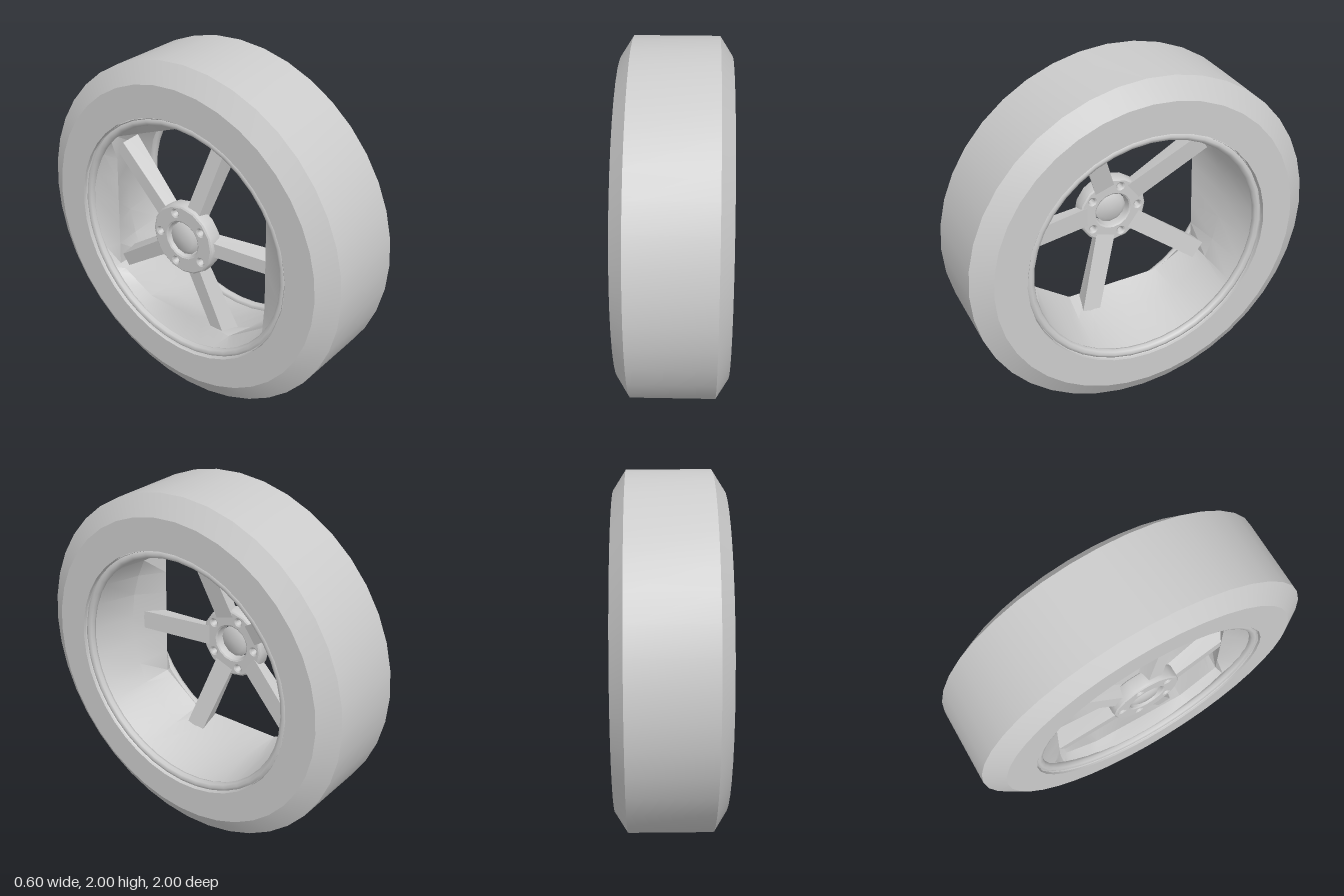
import * as THREE from 'three';
import { toCreasedNormals } from 'three/addons/utils/BufferGeometryUtils.js';

const grey = new THREE.MeshStandardMaterial({ color: 0xcccccc });
const greyDouble = new THREE.MeshStandardMaterial({ color: 0xcccccc, side: THREE.DoubleSide });

function part(name, geometry, material = grey) {
  const mesh = new THREE.Mesh(geometry, material);
  mesh.name = name;
  return mesh;
}

// Solid of revolution about local z from [radius, z] pairs
function turned(points, segments) {
  const g = new THREE.LatheGeometry(points.map(p => new THREE.Vector2(...p)), segments);
  g.rotateX(Math.PI / 2);
  return toCreasedNormals(g, 0.5);
}

// Barrel: round lips at both ends, drawn in to a faceted waist near the spokes
function barrelGeometry() {
  const waist = [[0.52, -0.38], [0.51, 0.42], [0.4, 0.51], [0, 0.65],
    [-0.52, 0.44], [-0.54, -0.4], [-0.3, -0.53], [0.28, -0.55]];
  // Each waist edge is cut into steps, giving [angle, radius] around the axle
  const steps = 6, around = [];
  waist.forEach(([ax, ay], i) => {
    const [bx, by] = waist[(i + 1) % waist.length];
    for (let k = 0; k < steps; k++) {
      const x = ax + (bx - ax) * k / steps, y = ay + (by - ay) * k / steps;
      around.push([Math.atan2(y, x), Math.hypot(x, y)]);
    }
  });
  // [local z, round radius, share of the waist]
  const rings = [[-0.29, 0.705, 0], [-0.22, 0.685, 0], [0.02, 0.67, 0.3],
    [0.2, 0.66, 1], [0.25, 0.675, 0.15], [0.29, 0.705, 0]];
  const n = around.length, pos = [], index = [];
  rings.forEach(([z, r, w], j) => {
    around.forEach(([a, waistRadius], i) => {
      const rad = r + (waistRadius - r) * w;
      pos.push(rad * Math.cos(a), rad * Math.sin(a), z);
      if (j === 0) return;
      const k = (i + 1) % n, p = (j - 1) * n, q = j * n;
      index.push(p + i, q + i, p + k, p + k, q + i, q + k);
    });
  });
  const g = new THREE.BufferGeometry();
  g.setAttribute('position', new THREE.Float32BufferAttribute(pos, 3));
  g.setIndex(index);
  return toCreasedNormals(g, 0.4);
}

// Spoke along local x: tapered and leaning back towards the rim
function spokeGeometry() {
  const g = new THREE.BoxGeometry(1, 1, 1);
  const p = g.attributes.position;
  for (let i = 0; i < p.count; i++) {
    const outer = p.getX(i) > 0, front = p.getZ(i) > 0;
    const half = (outer ? 0.055 : 0.06) * (front ? 0.7 : 1);
    const z = outer ? (front ? 0.18 : 0.07) : (front ? 0.24 : 0.17);
    p.setXYZ(i, outer ? 0.635 : 0.16, Math.sign(p.getY(i)) * half, z);
  }
  g.computeVertexNormals();
  return g;
}

// Hub plate with a centre bore and five bolt holes between the spokes
function hubGeometry() {
  const shape = new THREE.Shape().absarc(0, 0, 0.195, 0, Math.PI * 2);
  const hole = (x, y, r) => shape.holes.push(new THREE.Path().absarc(x, y, r, 0, Math.PI * 2, true));
  hole(0, 0, 0.115);
  for (let i = 0; i < 5; i++) {
    const a = (i + 0.5) * Math.PI * 0.4;
    hole(0.157 * Math.cos(a), 0.157 * Math.sin(a), 0.028);
  }
  const g = new THREE.ExtrudeGeometry(shape, {
    depth: 0.05, bevelSize: 0.012, bevelThickness: 0.02, bevelSegments: 2, curveSegments: 8
  });
  g.translate(0, 0, 0.19);
  return toCreasedNormals(g, 0.6);
}

export function createModel() {
  const model = new THREE.Group();
  model.name = 'wheel';

  // Work with the axle along local z, the outer face at +z
  const wheel = new THREE.Group();
  wheel.name = 'wheelAssembly';
  wheel.rotation.y = -Math.PI / 2;
  wheel.position.y = 1;
  model.add(wheel);

  // Tyre with flat tread, chamfered shoulders and flat sidewalls
  wheel.add(part('tyre', turned([
    [0.71, -0.3], [0.89, -0.3], [1, -0.23], [1, 0.23], [0.89, 0.3], [0.71, 0.3], [0.71, -0.3]
  ], 40)));

  wheel.add(part('rimBarrel', barrelGeometry(), greyDouble));

  // Rounded lip on each side of the rim
  for (const side of [-1, 1]) {
    const lip = part('rimLip', new THREE.TorusGeometry(0.685, 0.025, 8, 40));
    lip.position.z = side * 0.265;
    wheel.add(lip);
  }

  const spoke = spokeGeometry();
  for (let i = 0; i < 5; i++) {
    const mesh = part('spoke', spoke);
    mesh.rotation.z = i * Math.PI * 0.4;
    wheel.add(mesh);
  }

  wheel.add(part('hub', hubGeometry()));

  // Domed centre cap inside the hub bore
  wheel.add(part('centreCap', turned([
    [0, 0.19], [0.07, 0.195], [0.095, 0.21], [0.095, 0.24], [0.07, 0.255], [0, 0.26]
  ], 12)));

  return model;
}
